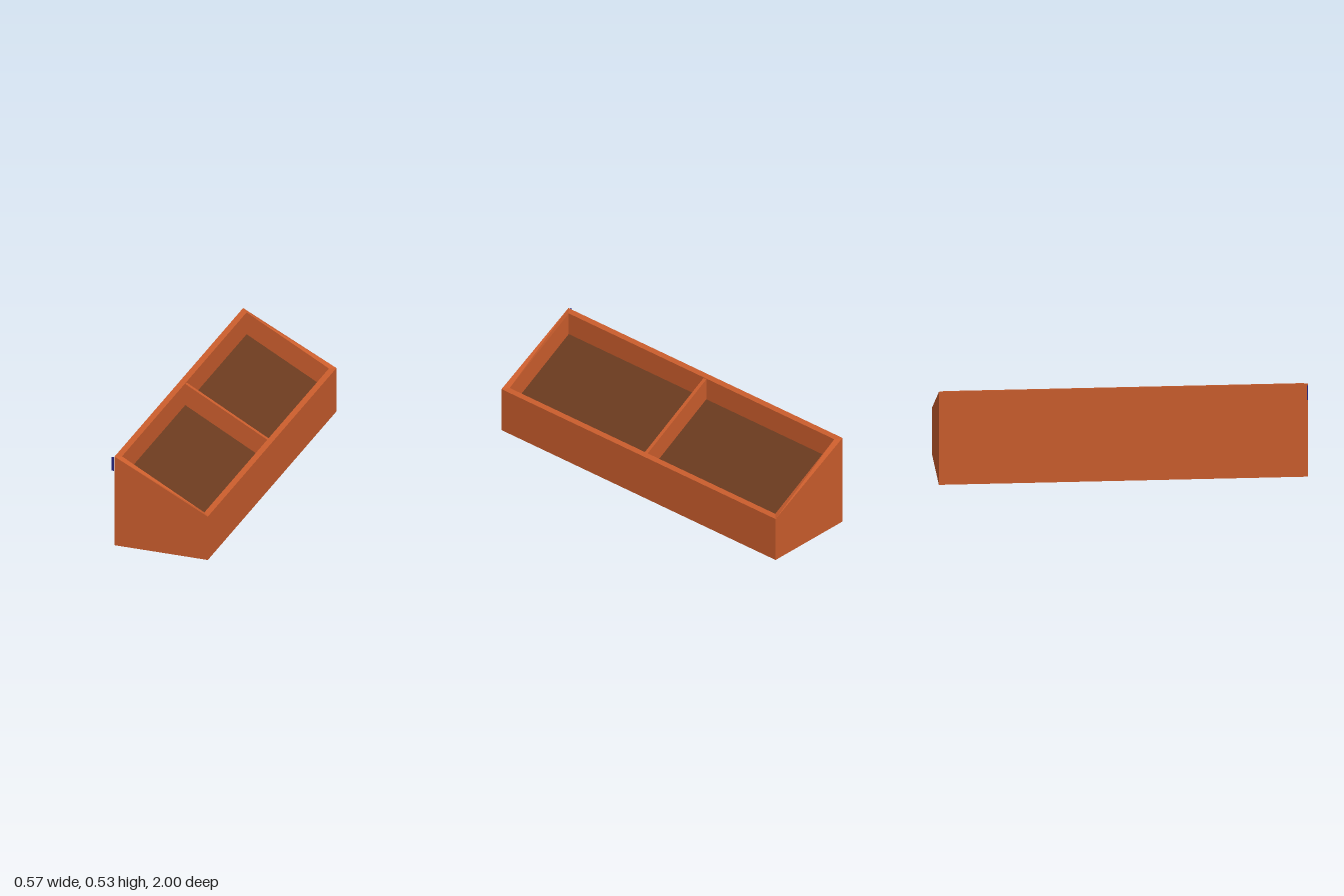
import * as THREE from 'three';

const W = 0.2675, L = 0.995;          // outer half width and half length
const IW = 0.236, IL = 0.964;         // inner half width and half length

// Rectangular loop of corners; yHigh on the -x side, yLow on the +x side
function loop(w, l, yHigh, yLow) {
  return [[-w, yHigh, l], [w, yLow, l], [w, yLow, -l], [-w, yHigh, -l]];
}

// Flat-faced skin from quads with counter-clockwise corners
function quads(list) {
  const pos = [];
  for (const [a, b, c, d] of list) pos.push(...a, ...b, ...c, ...a, ...c, ...d);
  const g = new THREE.BufferGeometry();
  g.setAttribute('position', new THREE.Float32BufferAttribute(pos, 3));
  g.computeVertexNormals();
  return g;
}

// Band of four quads joining two loops
function band(lower, upper) {
  return lower.map((p, i) => {
    const j = (i + 1) % 4;
    return [p, lower[j], upper[j], upper[i]];
  });
}

export function createModel() {
  const group = new THREE.Group();
  const wood = new THREE.MeshStandardMaterial({ color: 0xc85c2c });
  wood.name = 'orangeWood';
  const soil = new THREE.MeshStandardMaterial({ color: 0x6b3b1f });
  soil.name = 'brownFloor';
  const blue = new THREE.MeshStandardMaterial({ color: 0x25257e });
  blue.name = 'blueTag';

  const add = (name, geometry, material) => {
    const mesh = new THREE.Mesh(geometry, material);
    mesh.name = name;
    group.add(mesh);
    return mesh;
  };

  const base = loop(W, L, 0, 0);
  const rimOuter = loop(W, L, 0.527, 0.258);
  const rimInner = loop(IW, IL, 0.52, 0.264);
  const floor = loop(IW, IL, 0.39, 0.134);

  // Outer walls, mitred rim, inner walls and underside
  add('tray', quads([
    ...band(base, rimOuter),
    ...band(rimOuter, rimInner),
    ...band(rimInner, floor),
    [...base].reverse(),
  ]), wood);

  // Sloping floor of the tray
  add('trayFloor', quads([floor]), soil);

  // Cross divider, following the slope of the rim
  const shape = new THREE.Shape([
    new THREE.Vector2(-IW, 0.38), new THREE.Vector2(IW, 0.124),
    new THREE.Vector2(IW, 0.26), new THREE.Vector2(-IW, 0.516),
  ]);
  const divider = new THREE.ExtrudeGeometry(shape, { depth: 0.02, bevelEnabled: false });
  divider.translate(0, 0, -0.035);
  add('divider', divider, wood);

  // Small tag beside the tall front corner
  add('tag', new THREE.BoxGeometry(0.014, 0.08, 0.004), blue).position.set(-0.2785, 0.48, 0.99);

  // The tray stands slightly turned
  group.rotation.y = 0.0176;
  const model = new THREE.Group();
  model.name = 'slopedTray';
  model.add(group);
  group.name = 'turnedTray';
  return model;
}
